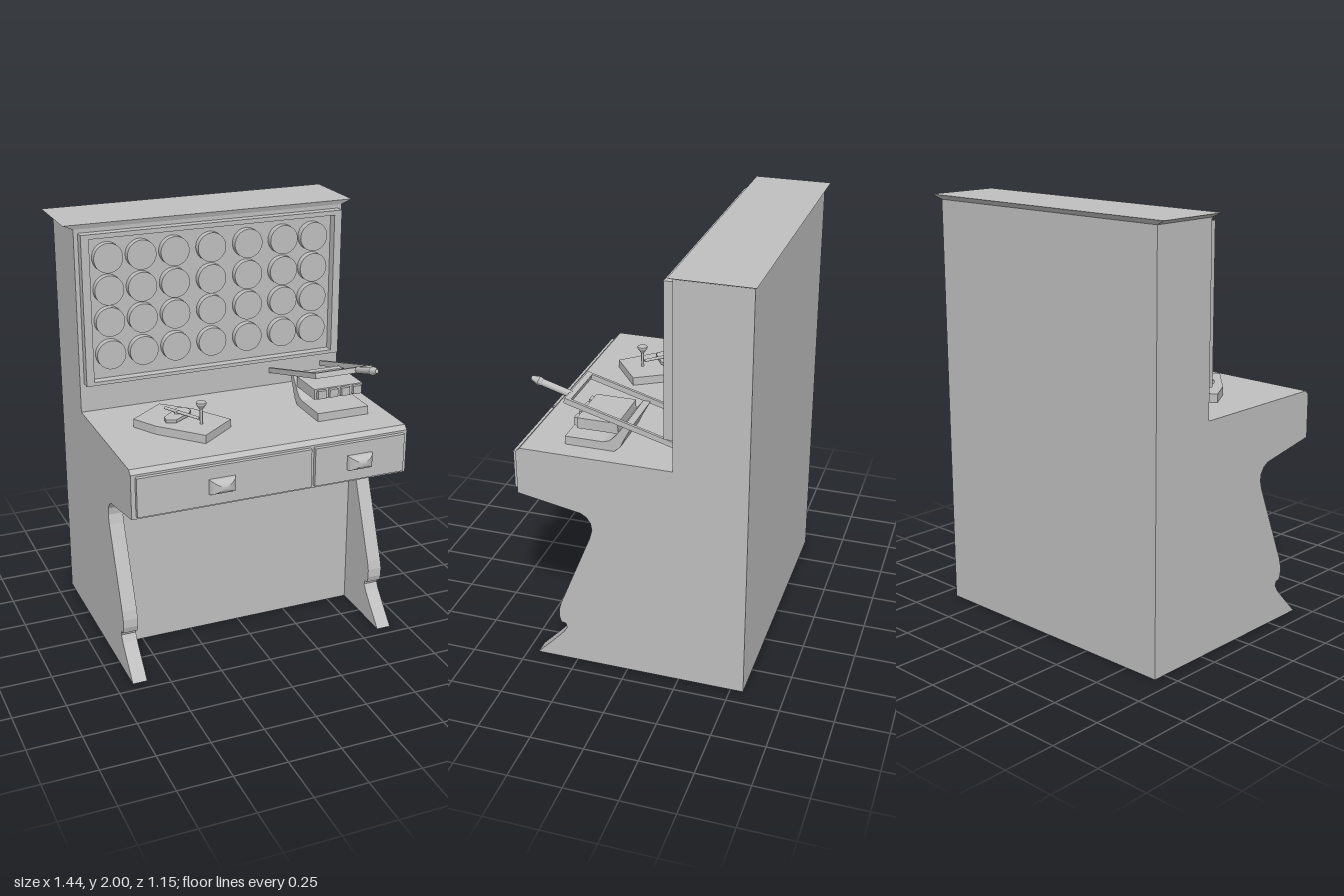
import * as THREE from 'three';

const grey = new THREE.MeshStandardMaterial({ color: 0xbfbfbf, flatShading: true });
grey.name = 'plain grey';

const V = (x, y, z) => new THREE.Vector3(x, y, z);

function add(parent, name, geometry) {
  const mesh = new THREE.Mesh(geometry, grey);
  mesh.name = name;
  parent.add(mesh);
  return mesh;
}

// Box given by its limits on each axis
function box(parent, name, x0, x1, y0, y1, z0, z1) {
  const g = new THREE.BoxGeometry(x1 - x0, y1 - y0, z1 - z0);
  g.translate((x0 + x1) / 2, (y0 + y1) / 2, (z0 + z1) / 2);
  return add(parent, name, g);
}

const shapeOf = (pts) => new THREE.Shape(pts.map(([a, b]) => new THREE.Vector2(a, b)));

// Side profile of (z, y) points, extruded from x0 to x1
function sideExtrude(parent, name, pts, x0, x1) {
  const g = new THREE.ExtrudeGeometry(shapeOf(pts), { depth: x1 - x0, bevelEnabled: false });
  g.rotateY(-Math.PI / 2).translate(x1, 0, 0);
  return add(parent, name, g);
}

// Plan outline of (x, z) points, extruded from y0 to y1
function planExtrude(parent, name, pts, y0, y1) {
  const g = new THREE.ExtrudeGeometry(shapeOf(pts), { depth: y1 - y0, bevelEnabled: false });
  g.rotateX(Math.PI / 2).translate(0, y1, 0);
  return add(parent, name, g);
}

// Round bar between two points
function rod(parent, name, a, b, ra, rb = ra) {
  const d = b.clone().sub(a);
  const mesh = add(parent, name, new THREE.CylinderGeometry(rb, ra, d.length(), 12));
  mesh.position.copy(a).addScaledVector(d, 0.5);
  mesh.quaternion.setFromUnitVectors(V(0, 1, 0), d.normalize());
  return mesh;
}

export function createModel() {
  const model = new THREE.Group();
  model.name = 'writingCabinet';

  // Cabinet body and scrolled side panels
  const upper = [[0.51, 0.87], [0.51, 1.08], [0.49, 1.1], [-0.22, 1.1], [-0.22, 1.98], [-0.56, 1.98]];
  sideExtrude(model, 'carcass', [[-0.56, 0], [0.09, 0], [0.09, 0.87], ...upper], -0.6, 0.6);
  const leg = [[-0.56, 0], [0.45, 0], [0.36, 0.095], [0.315, 0.145], [0.297, 0.175], [0.303, 0.197],
    [0.325, 0.2], [0.334, 0.23], [0.333, 0.27], [0.322, 0.31], [0.17, 0.69], [0.158, 0.735],
    [0.163, 0.77], [0.182, 0.798], [0.21, 0.815]];
  sideExtrude(model, 'leftSide', [...leg, ...upper], 0.6, 0.67);
  sideExtrude(model, 'rightSide', [...leg, ...upper], -0.67, -0.6);

  // Flared crown board
  const crown = new THREE.BoxGeometry(1.34, 0.022, 0.34);
  const p = crown.attributes.position;
  for (let i = 0; i < p.count; i++) {
    if (p.getY(i) > 0) p.setXYZ(i, Math.sign(p.getX(i)) * 0.72, p.getY(i), Math.sign(p.getZ(i)) * 0.1825 - 0.005);
  }
  crown.translate(0, 1.989, -0.39);
  add(model, 'crown', crown);

  // Display frame with rows of round discs
  const frame = shapeOf([[-0.65, 1.24], [0.65, 1.24], [0.65, 1.96], [-0.65, 1.96]]);
  frame.holes.push(shapeOf([[-0.612, 1.257], [-0.612, 1.938], [0.612, 1.938], [0.612, 1.257]]));
  const frameGeo = new THREE.ExtrudeGeometry(frame, { depth: 0.045, bevelEnabled: false });
  add(model, 'displayFrame', frameGeo.translate(0, 0, -0.22));
  const discs = new THREE.Group();
  discs.name = 'discs';
  model.add(discs);
  for (const y of [1.84, 1.688, 1.537, 1.377]) {
    for (const x of [-0.52, -0.36, -0.198, -0.015, 0.17, 0.353, 0.51]) {
      const g = new THREE.CylinderGeometry(0.07, 0.07, 0.034, 32);
      add(discs, 'disc', g.rotateX(Math.PI / 2).translate(x, y, -0.203));
    }
  }

  // Drawers with four-sided domed knobs
  for (const [x0, x1, kx] of [[-0.65, 0.178, -0.257], [0.196, 0.648, 0.418]]) {
    box(model, 'drawer', x0, x1, 0.885, 1.07, 0.51, 0.53);
    const arc = [];
    for (let i = 0; i <= 8; i++) {
      const a = (i / 8) * Math.PI / 2;
      arc.push(new THREE.Vector2(Math.SQRT2 * Math.cos(a), Math.sin(a)));
    }
    const knob = new THREE.LatheGeometry(arc, 4, Math.PI / 4);
    knob.scale(0.062, 0.045, 0.035).rotateX(Math.PI / 2).translate(kx, 0.975, 0.53);
    add(model, 'drawerKnob', knob);
  }

  // Small scale on an angular pad
  const stand = new THREE.Group();
  stand.name = 'deskStand';
  model.add(stand);
  planExtrude(stand, 'pad', [[-0.325, -0.09], [-0.2, 0.03], [-0.087, 0.217], [-0.263, 0.352],
    [-0.433, 0.166], [-0.5, 0.046]], 1.1, 1.14);
  planExtrude(stand, 'plate', [[-0.285, 0.045], [-0.25, 0.05], [-0.235, 0.09], [-0.26, 0.13],
    [-0.34, 0.183], [-0.383, 0.165], [-0.38, 0.13]], 1.148, 1.163);
  rod(stand, 'platePost', V(-0.31, 1.138, 0.11), V(-0.31, 1.175, 0.11), 0.012);
  rod(stand, 'pointer', V(-0.35, 1.178, 0.06), V(-0.24, 1.165, 0.21), 0.007);
  const funnel = [[0.007, 1.138], [0.007, 1.21], [0.024, 1.235], [0.024, 1.245], [0, 1.245]];
  const funnelGeo = new THREE.LatheGeometry(funnel.map(([r, y]) => new THREE.Vector2(r, y)), 16);
  add(stand, 'funnel', funnelGeo.translate(-0.232, 0, 0.217));

  // Press: base sweeping up at the back, toothed block, hinged lever frame
  const press = new THREE.Group();
  press.name = 'press';
  model.add(press);
  sideExtrude(press, 'pressBase', [[0.08, 1.1], [0.31, 1.1], [0.31, 1.14], [0.13, 1.14], [0.1, 1.15],
    [0.075, 1.175], [0.03, 1.235], [-0.005, 1.235], [0.035, 1.16], [0.05, 1.125]], 0.312, 0.572);
  box(press, 'toothedBlock', 0.318, 0.567, 1.187, 1.238, 0.062, 0.252);
  for (let i = 0; i < 4; i++) {
    const x = 0.33 + i * 0.061;
    box(press, 'tooth', x, x + 0.042, 1.193, 1.232, 0.252, 0.27);
  }
  const rail = [[-0.22, 1.163], [0.305, 1.312], [0.298, 1.337], [-0.22, 1.19]];
  sideExtrude(press, 'leftRail', rail, 0.574, 0.588);
  sideExtrude(press, 'rightRail', rail, 0.298, 0.312);
  sideExtrude(press, 'crossBar', [[0.28, 1.305], [0.305, 1.312], [0.298, 1.337], [0.273, 1.33]], 0.312, 0.574);

  // Lever handle
  const a = V(0.516, 1.322, 0.295), b = V(0.516, 1.362, 0.43), c = V(0.516, 1.367, 0.445), d = V(0.516, 1.378, 0.48);
  rod(press, 'leverShaft', a, b, 0.016);
  rod(press, 'leverCollar', b, c, 0.016, 0.021);
  rod(press, 'leverTip', c, d, 0.021, 0.009);
  return model;
}
